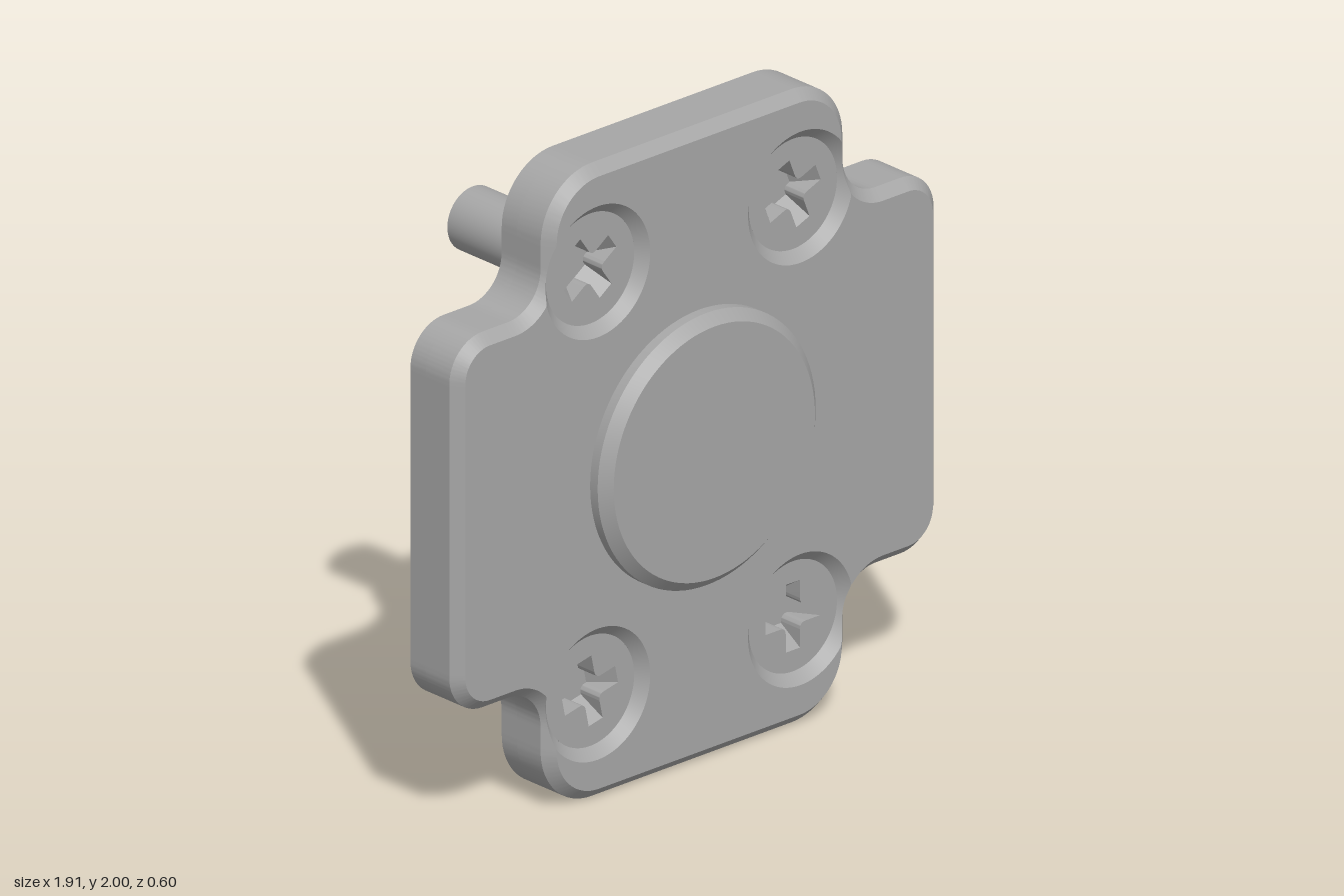
import * as THREE from 'three';
import { toCreasedNormals } from 'three/addons/utils/BufferGeometryUtils.js';

const BACK = 0.035, FRONT = 0.234, C = 0.033;      // plate faces and chamfer size
const EDGE = FRONT - C;                            // where the chamfer starts
const W = 0.955, H = 1, w = 0.595, h = 0.593;      // half sizes of the cross outline
const SEAT = 0.174, RIM = SEAT + C, BORE = 0.12;   // countersink and bore radii
const SX = 0.4, SY = 0.667;                        // screw positions
const LEDGE = 0.1;                                 // underside of the screw heads
const TAU = Math.PI * 2;
const V2 = (x, y) => new THREE.Vector2(x, y);

const circle = (cx, cy, r, n = 64) => Array.from({ length: n }, (_, i) =>
  V2(cx + r * Math.cos(i / n * TAU), cy + r * Math.sin(i / n * TAU)));

// Plate outline: one quadrant mirrored four ways, then finely divided
function makeOutline() {
  const q = [];
  const arc = (cx, cy, r, a0, a1) => {
    for (let i = 0; i <= 16; i++) {
      const a = a0 + (a1 - a0) * i / 16;
      q.push(V2(cx + r * Math.cos(a), cy + r * Math.sin(a)));
    }
  };
  const r = 0.13, R = 0.2;
  arc(W - r, h - r, r, 0, Math.PI / 2);
  arc(w + r, h + r, r, Math.PI * 1.5, Math.PI);
  arc(w - R, H - R, R, 0, Math.PI / 2);
  const rev = [...q].reverse();
  const all = [...q, ...rev.map(p => V2(-p.x, p.y)),
    ...q.map(p => V2(-p.x, -p.y)), ...rev.map(p => V2(p.x, -p.y))];
  const out = [];
  all.forEach((p, i) => {
    const next = all[(i + 1) % all.length];
    const n = Math.ceil(p.distanceTo(next) / 0.01);
    for (let k = 0; k < n; k++) out.push(p.clone().lerp(next, k / n));
  });
  return out;
}

// Largest value in [0, max] for which the test still holds
function solve(max, test) {
  if (test(max)) return max;
  let lo = 0, hi = max;
  for (let i = 0; i < 16; i++) {
    const m = (lo + hi) / 2;
    if (test(m)) lo = m; else hi = m;
  }
  return lo;
}

// Closed strip between two loops of equal length
function strip(a, b) {
  const pos = [];
  a.forEach((p, i) => {
    const j = (i + 1) % a.length;
    for (const v of [p, a[j], b[j], p, b[j], b[i]]) pos.push(v.x, v.y, v.z);
  });
  const g = new THREE.BufferGeometry();
  g.setAttribute('position', new THREE.Float32BufferAttribute(pos, 3));
  return g;
}

const extrude = (shape, z0, z1) =>
  new THREE.ExtrudeGeometry(shape, { depth: z1 - z0, bevelEnabled: false, curveSegments: 32 }).translate(0, 0, z0);

// Cross-shaped recess with rounded inner corners
function crossPath() {
  const L = 0.107, a = 0.028, f = 0.05;
  const path = new THREE.Path();
  for (let k = 0; k < 4; k++) {
    const t = (x, y) => {
      const p = V2(x, y).rotateAround(V2(0, 0), k * Math.PI / 2);
      return [p.x, p.y];
    };
    if (k === 0) path.moveTo(...t(L, -a)); else path.lineTo(...t(L, -a));
    path.lineTo(...t(L, a));
    path.lineTo(...t(f, a));
    path.quadraticCurveTo(...t(a, a), ...t(a, f));
  }
  path.closePath();
  return path;
}

export function createModel() {
  const model = new THREE.Group();
  const steel = new THREE.MeshStandardMaterial({ color: 0xa6a6a6 });
  steel.name = 'grey metal';
  const add = (parent, geo, name) => {
    const mesh = new THREE.Mesh(toCreasedNormals(geo, 0.5), steel);
    mesh.name = name;
    parent.add(mesh);
    return mesh;
  };
  const centres = [V2(SX, SY), V2(-SX, SY), V2(-SX, -SY), V2(SX, -SY)];
  const outline = makeOutline();
  const N = outline.length;

  // Plate body: a rear layer with narrow bores, a front layer with wide seats
  const plate = new THREE.Group();
  plate.name = 'plate';
  model.add(plate);
  for (const [z0, z1, r, name] of [[BACK, LEDGE, BORE, 'plateBack'], [LEDGE, EDGE, SEAT, 'plateBody']]) {
    const s = new THREE.Shape(outline);
    s.holes = centres.map(c => new THREE.Path(circle(c.x, c.y, r)));
    add(plate, extrude(s, z0, z1), name);
  }

  // Chamfered rim, notched where the countersinks break through it
  const normals = outline.map((p, i) => {
    const t = outline[(i + 1) % N].clone().sub(outline[(i + N - 1) % N]).normalize();
    return V2(t.y, -t.x);
  });
  const inset = (i, s) => outline[i].clone().addScaledVector(normals[i], -s);
  const low = outline.map(p => new THREE.Vector3(p.x, p.y, EDGE));
  const high = outline.map((_, i) => {
    const s = solve(C, d => centres.every(c => inset(i, d).distanceTo(c) - SEAT >= d));
    const p = inset(i, s);
    return new THREE.Vector3(p.x, p.y, EDGE + s);
  });
  add(plate, strip(low, high), 'plateChamfer');

  // Front face: inset outline that detours round each countersink
  const face = [];
  let last = null, hole = null;
  for (let i = 0; i < N; i++) {
    const p = inset(i, C);
    const inside = centres.find(c => c.distanceTo(p) < RIM);
    if (inside) { hole = inside; continue; }
    if (hole) {
      const a0 = last.clone().sub(hole).angle();
      let a1 = p.clone().sub(hole).angle();
      while (a1 >= a0) a1 -= TAU;
      for (let k = 0; k <= 60; k++) {
        const a = a0 + (a1 - a0) * k / 60;
        face.push(V2(hole.x + RIM * Math.cos(a), hole.y + RIM * Math.sin(a)));
      }
      hole = null;
    }
    face.push(p);
    last = p;
  }
  add(plate, new THREE.ShapeGeometry(new THREE.Shape(face)).translate(0, 0, FRONT), 'plateFace');

  // Countersink cones
  for (const c of centres) {
    const inner = circle(c.x, c.y, SEAT, 96);
    const top = inner.map(p => {
      const dir = p.clone().sub(c).normalize();
      const at = s => p.clone().addScaledVector(dir, s);
      const s = solve(C, d => { const v = at(d); return outline.every(o => o.distanceTo(v) >= d); });
      return new THREE.Vector3(at(s).x, at(s).y, EDGE + s);
    });
    add(plate, strip(top, inner.map(p => new THREE.Vector3(p.x, p.y, EDGE))), 'countersink');
  }

  // Raised round boss
  const boss = [[0.43, 0.2], [0.43, 0.266], [0.397, 0.299], [0, 0.299]].map(p => V2(...p));
  add(model, new THREE.LatheGeometry(boss, 96).rotateX(Math.PI / 2), 'centreBoss');

  // Screws, each turned by its own angle
  const turns = [0.38, 0.61, 0.21, 0];
  const floorZ = 0.12;
  centres.forEach((c, i) => {
    const screw = new THREE.Group();
    screw.name = 'screw';
    screw.position.set(c.x, c.y, 0);
    screw.rotation.z = turns[i];
    const head = new THREE.Shape(circle(0, 0, SEAT));
    head.holes.push(crossPath());
    add(screw, extrude(head, floorZ, EDGE), 'screwHead');
    add(screw, new THREE.CylinderGeometry(SEAT, SEAT, floorZ - LEDGE, 48)
      .rotateX(Math.PI / 2).translate(0, 0, (floorZ + LEDGE) / 2), 'recessFloor');
    // Sloping ends of the cross recess
    const wedge = new THREE.Shape([V2(0.055, floorZ), V2(0.107, floorZ), V2(0.107, EDGE)]);
    for (let k = 0; k < 4; k++) {
      add(screw, extrude(wedge, -0.028, 0.028).rotateX(Math.PI / 2).rotateZ(k * Math.PI / 2), 'recessRamp');
    }
    add(screw, new THREE.CylinderGeometry(0.1, 0.1, 0.41, 48)
      .rotateX(Math.PI / 2).translate(0, 0, -0.095), 'screwShank');
    model.add(screw);
  });

  model.position.y = 1;
  const root = new THREE.Group();
  root.name = 'coverPlate';
  root.add(model);
  return root;
}
